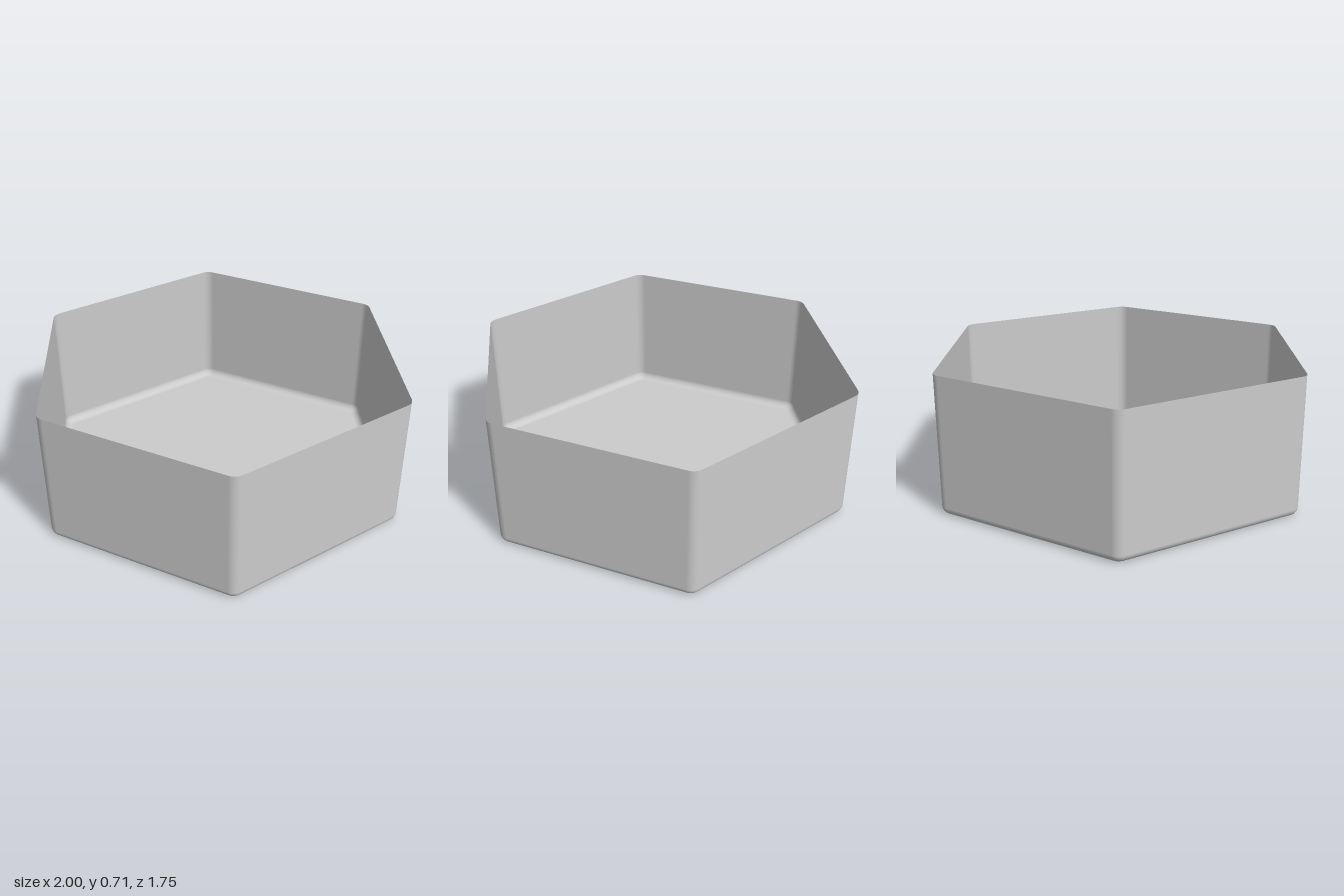
import * as THREE from 'three';

const HEIGHT = 0.715;      // overall height
const APOTHEM = 0.874;     // centre to flat wall
const CORNER = 0.06;       // radius of the upright corners
const FILLET = 0.04;       // radius between walls and floor
const CORNER_STEPS = 8;
const FILLET_STEPS = 8;

// Thin hexagonal shell: one rim ring, fillet rings, then a floor fan.
function hexShell() {
  const positions = [], normals = [], index = [];
  const centreDistance = (APOTHEM - CORNER) / Math.cos(Math.PI / 6);

  // One rounded-hexagon ring; tilt turns the normals from outward to down.
  function addRing(y, inset, tilt) {
    for (let side = 0; side < 6; side++) {
      const middle = side * Math.PI / 3;
      for (let k = 0; k <= CORNER_STEPS; k++) {
        const phi = middle + (k / CORNER_STEPS - 0.5) * Math.PI / 3;
        const r = CORNER - inset;
        positions.push(
          centreDistance * Math.cos(middle) + r * Math.cos(phi), y,
          centreDistance * Math.sin(middle) + r * Math.sin(phi));
        normals.push(Math.cos(phi) * Math.cos(tilt), -Math.sin(tilt), Math.sin(phi) * Math.cos(tilt));
      }
    }
  }

  addRing(HEIGHT, 0, 0);
  for (let s = 0; s <= FILLET_STEPS; s++) {
    const t = s / FILLET_STEPS * Math.PI / 2;
    addRing(FILLET * (1 - Math.sin(t)), FILLET * (1 - Math.cos(t)), t);
  }

  // Walls and fillet
  const n = 6 * (CORNER_STEPS + 1);
  const rings = FILLET_STEPS + 2;
  for (let i = 0; i < rings - 1; i++) {
    for (let j = 0; j < n; j++) {
      const a = i * n + j, b = i * n + (j + 1) % n;
      index.push(a, b, a + n, b, b + n, a + n);
    }
  }

  // Floor
  const centre = rings * n;
  positions.push(0, 0, 0);
  normals.push(0, -1, 0);
  for (let j = 0; j < n; j++) {
    index.push((rings - 1) * n + j, (rings - 1) * n + (j + 1) % n, centre);
  }

  const geometry = new THREE.BufferGeometry();
  geometry.setAttribute('position', new THREE.Float32BufferAttribute(positions, 3));
  geometry.setAttribute('normal', new THREE.Float32BufferAttribute(normals, 3));
  geometry.setIndex(index);
  return geometry;
}

export function createModel() {
  const model = new THREE.Group();
  model.name = 'hexagonalTray';
  const material = new THREE.MeshStandardMaterial({ color: 0xcccccc, side: THREE.DoubleSide });
  const shell = new THREE.Mesh(hexShell(), material);
  shell.name = 'trayShell';
  model.add(shell);
  return model;
}
